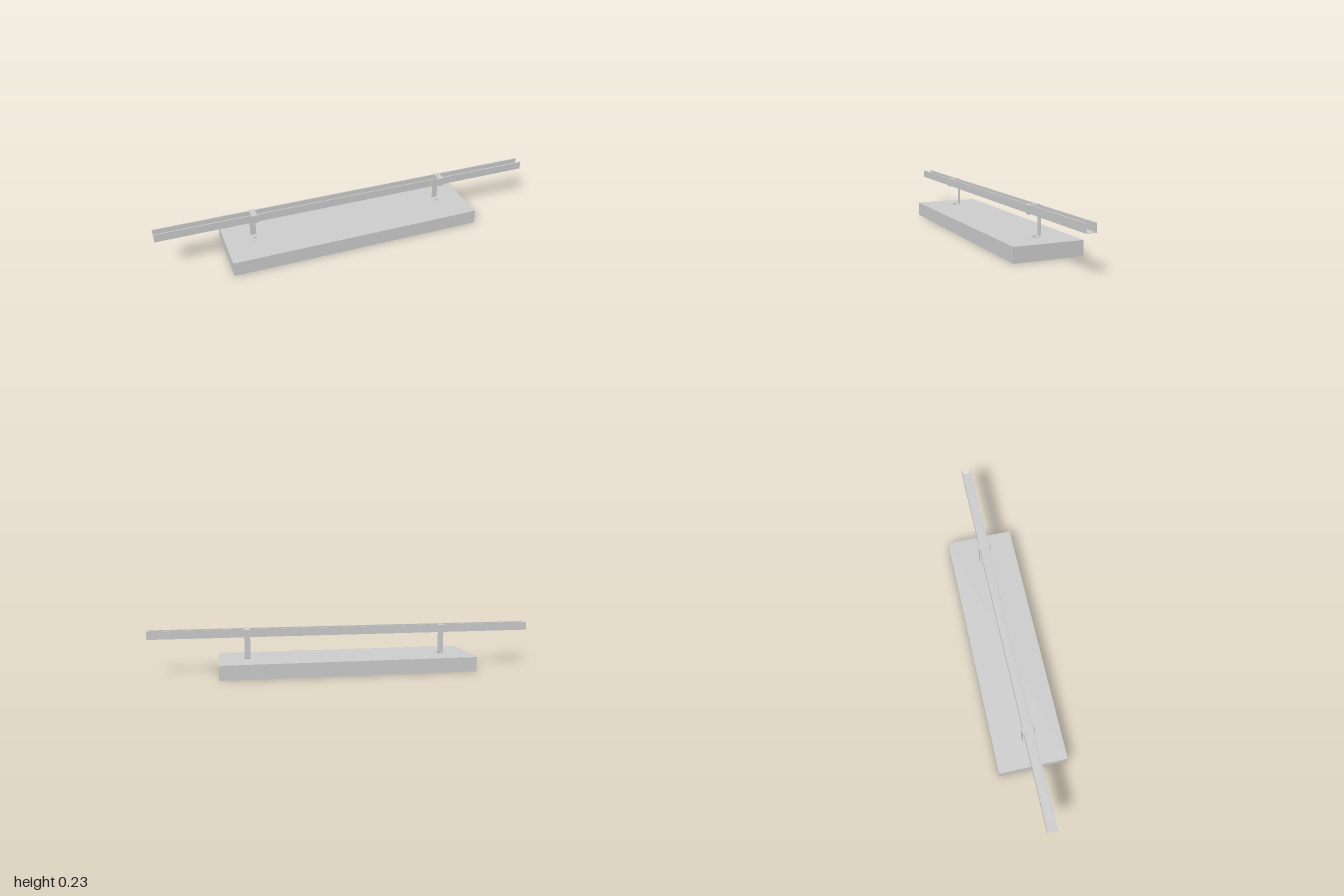
import * as THREE from 'three';

const grey = new THREE.MeshStandardMaterial({ color: 0xcccccc, flatShading: true, side: THREE.DoubleSide });
const smooth = new THREE.MeshStandardMaterial({ color: 0xcccccc });

function add(parent, name, geometry, x = 0, y = 0, z = 0, material = grey) {
  const mesh = new THREE.Mesh(geometry, material);
  mesh.name = name;
  mesh.position.set(x, y, z);
  parent.add(mesh);
  return mesh;
}

// Folded sheet metal: thickens a [z, y] polyline with mitred corners, extruded along x
function foldedSheet(points, thickness, length) {
  const p = points.map(([a, b]) => new THREE.Vector2(a, b));
  const normal = (a, b) => new THREE.Vector2(a.y - b.y, b.x - a.x).normalize();
  const offset = p.map((v, i) => {
    const n0 = normal(p[Math.max(i - 1, 0)], p[Math.max(i, 1)]);
    const n1 = normal(p[Math.min(i, p.length - 2)], p[Math.min(i + 1, p.length - 1)]);
    const m = n0.clone().add(n1).normalize();
    return v.clone().addScaledVector(m, thickness / m.dot(n0));
  });
  const shape = new THREE.Shape([...p, ...offset.reverse()]);
  return new THREE.ExtrudeGeometry(shape, { depth: length, bevelEnabled: false })
    .translate(0, 0, -length / 2)
    .rotateY(-Math.PI / 2);
}

function createHousing() {
  const housing = new THREE.Group();
  housing.name = 'lampHousing';
  housing.position.set(-0.0075, 0, 0.001);
  const L = 1.315, W = 0.352, H = 0.075, end = 0.05, wall = 0.008;

  // Shell, open underneath
  add(housing, 'topPanel', new THREE.BoxGeometry(L, 0.004, W), 0, H - 0.002, 0);
  for (const s of [-1, 1]) {
    add(housing, 'sideWall', new THREE.BoxGeometry(L, H - 0.004, wall), 0, (H - 0.004) / 2, s * (W - wall) / 2);
    add(housing, 'endBlock', new THREE.BoxGeometry(end, H - 0.004, W - 2 * wall), s * (L - end) / 2, (H - 0.004) / 2, 0);
  }

  // Twin-trough reflector with a ridge between the lamps
  const half = W / 2 - wall;
  const reflector = [
    [-half, 0.006], [-0.115, 0.062], [-0.06, 0.062], [0, 0.012],
    [0.06, 0.062], [0.115, 0.062], [half, 0.006],
  ];
  const inner = L - 2 * end;
  add(housing, 'reflector', foldedSheet(reflector, 0.002, inner));

  // Lamps with end caps and sockets
  for (const z of [-0.085, 0.085]) {
    add(housing, 'lampTube', new THREE.CylinderGeometry(0.018, 0.018, inner - 0.03, 24).rotateZ(Math.PI / 2), 0, 0.034, z, smooth);
    for (const s of [-1, 1]) {
      add(housing, 'lampCap', new THREE.CylinderGeometry(0.016, 0.016, 0.015, 24).rotateZ(Math.PI / 2), s * (inner / 2 - 0.0075), 0.034, z, smooth);
    }
  }
  return housing;
}

function createHanger() {
  const hanger = new THREE.Group();
  hanger.name = 'hanger';

  // Strap hooking over the rail, dropping behind it and turning under as a foot
  const strap = [
    [0.036, 0.183], [0.036, 0.225], [0.0345, 0.2285], [0.031, 0.23],
    [-0.02, 0.23], [-0.0235, 0.2285], [-0.025, 0.225],
    [-0.025, 0.079], [-0.024, 0.076], [-0.021, 0.075], [0.026, 0.075],
  ];
  add(hanger, 'strap', foldedSheet(strap, 0.0018, 0.03));

  // Fixing bolt
  add(hanger, 'washer', new THREE.CylinderGeometry(0.007, 0.007, 0.003, 20), 0, 0.078, 0.002);
  add(hanger, 'boltHead', new THREE.CylinderGeometry(0.0095, 0.0095, 0.005, 6), 0, 0.081, 0.002);
  return hanger;
}

export function createModel() {
  const model = new THREE.Group();
  model.name = 'suspendedLight';
  model.add(createHousing());

  // Channel rail, open upward with inturned lips
  const channel = [
    [0.025, 0.22], [0.025, 0.228], [0.031, 0.228], [0.031, 0.187],
    [-0.019, 0.187], [-0.019, 0.228], [-0.013, 0.228], [-0.013, 0.22],
  ];
  add(model, 'mountingRail', foldedSheet(channel, -0.0018, 2));

  for (const x of [-0.515, 0.505]) {
    const hanger = createHanger();
    hanger.position.x = x;
    model.add(hanger);
  }
  return model;
}
